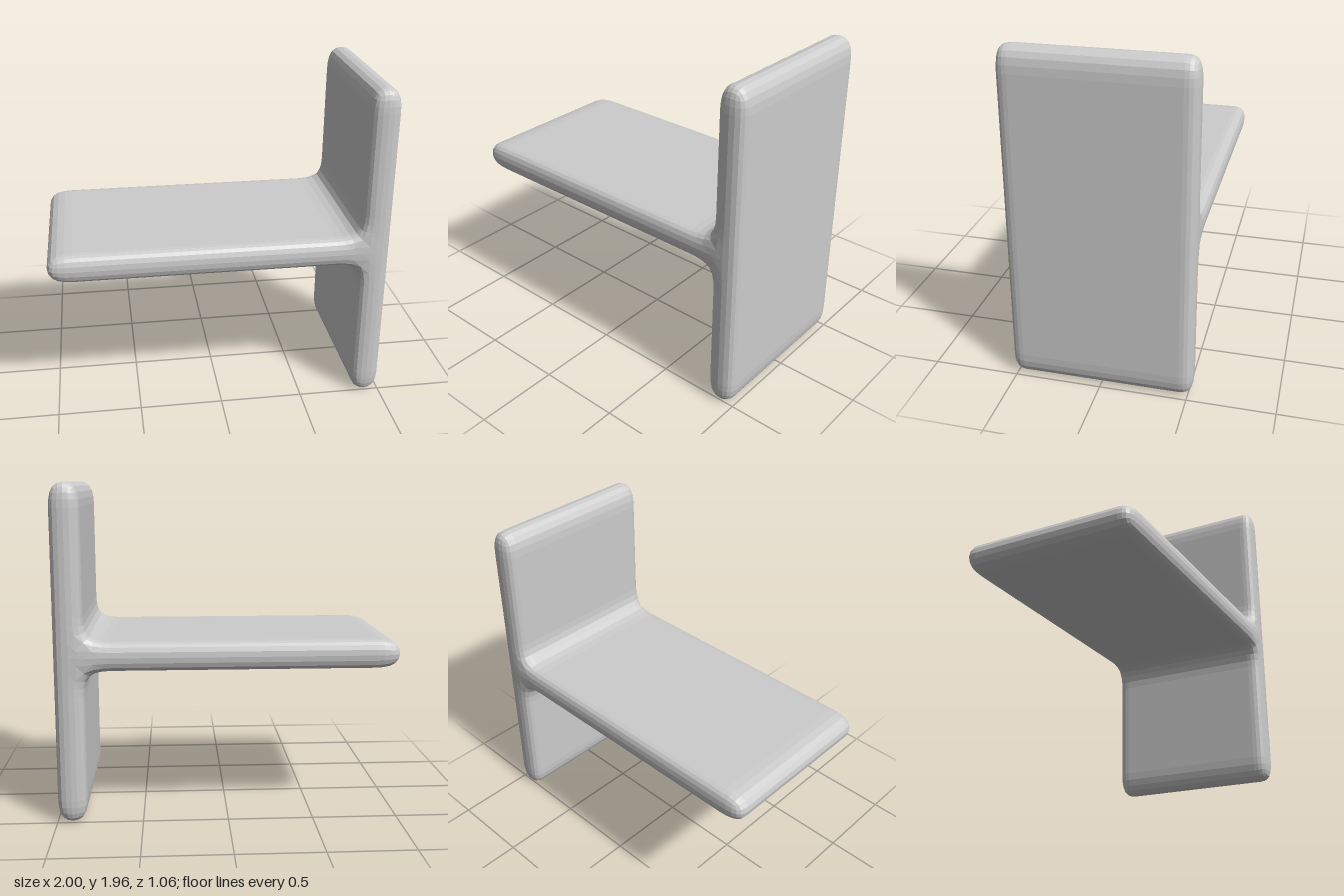
import * as THREE from 'three';

// Grid lines of the control cage: close to the rims and the joint they set the rounding
const XS = [-1.007, -0.8, -0.6, -0.4, -0.2, 0, 0.2, 0.42, 0.62, 0.825, 0.998];
const YS = [-0.003, 0.195, 0.37, 0.54, 0.71, 0.9, 1.07, 1.26, 1.43, 1.6, 1.775, 1.973];
const ZS = Array.from({ length: 11 }, (_, i) => -0.533 + i * 0.1066);

// Boxy T cage: cells of the upright plate and of the level plate, outer quads only
function tCage() {
  const nx = XS.length - 1, ny = YS.length - 1, nz = ZS.length - 1;
  const filled = (i, j, k) => i >= 0 && j >= 0 && k >= 0 && i < nx && j < ny && k < nz
    && (i === nx - 1 || j === 5);
  const points = [], faces = [], ids = new Map();
  const id = (c) => {
    const key = c.join();
    if (!ids.has(key)) {
      ids.set(key, points.length);
      points.push(new THREE.Vector3(XS[c[0]], YS[c[1]], ZS[c[2]]));
    }
    return ids.get(key);
  };
  for (let i = 0; i < nx; i++) for (let j = 0; j < ny; j++) for (let k = 0; k < nz; k++) {
    if (!filled(i, j, k)) continue;
    for (let axis = 0; axis < 3; axis++) for (const side of [0, 1]) {
      const next = [i, j, k];
      next[axis] += side ? 1 : -1;
      if (filled(...next)) continue;
      const u = (axis + 1) % 3, v = (axis + 2) % 3;
      const quad = [[0, 0], [1, 0], [1, 1], [0, 1]].map(([a, b]) => {
        const c = [i, j, k];
        c[axis] += side; c[u] += a; c[v] += b;
        return id(c);
      });
      faces.push(side ? quad : quad.reverse());
    }
  }
  return { points, faces };
}

// One round of Catmull-Clark smoothing on a closed quad mesh
function smooth({ points, faces }) {
  const out = points.map(() => new THREE.Vector3());
  const edges = new Map();
  const around = points.map(() => ({ n: 0, face: new THREE.Vector3(), edge: new THREE.Vector3() }));
  const add = (p) => out.push(p) - 1;
  const centres = faces.map((f) => {
    const c = new THREE.Vector3();
    f.forEach((v) => c.addScaledVector(points[v], 0.25));
    f.forEach((v, s) => {
      const w = f[(s + 1) % 4], key = v < w ? `${v},${w}` : `${w},${v}`;
      if (!edges.has(key)) edges.set(key, { v, w, sum: new THREE.Vector3() });
      edges.get(key).sum.add(c);
      around[v].n++;
      around[v].face.add(c);
    });
    return add(c);
  });
  for (const e of edges.values()) {
    const mid = points[e.v].clone().add(points[e.w]);
    e.id = add(mid.clone().add(e.sum).multiplyScalar(0.25));
    around[e.v].edge.addScaledVector(mid, 0.5);
    around[e.w].edge.addScaledVector(mid, 0.5);
  }
  around.forEach(({ n, face, edge }, v) => {
    out[v].addScaledVector(face, 1 / (n * n)).addScaledVector(edge, 2 / (n * n))
      .addScaledVector(points[v], (n - 3) / n);
  });
  const edgeId = (v, w) => edges.get(v < w ? `${v},${w}` : `${w},${v}`).id;
  const quads = faces.flatMap((f, i) => f.map((v, s) =>
    [v, edgeId(v, f[(s + 1) % 4]), centres[i], edgeId(f[(s + 3) % 4], v)]));
  return { points: out, faces: quads };
}

export function createModel() {
  const group = new THREE.Group();
  group.name = 'roundedTee';
  const grey = new THREE.MeshStandardMaterial({ color: 0xcccccc, flatShading: true });
  grey.name = 'light grey';

  // Upright plate and level plate blended into one soft body
  const { points, faces } = smooth(smooth(tCage()));
  const geometry = new THREE.BufferGeometry().setFromPoints(points);
  geometry.setIndex(faces.flatMap(([a, b, c, d]) => [a, b, c, a, c, d]));
  geometry.computeVertexNormals();
  const body = new THREE.Mesh(geometry, grey);
  body.name = 'joinedPlates';
  group.add(body);
  return group;
}
